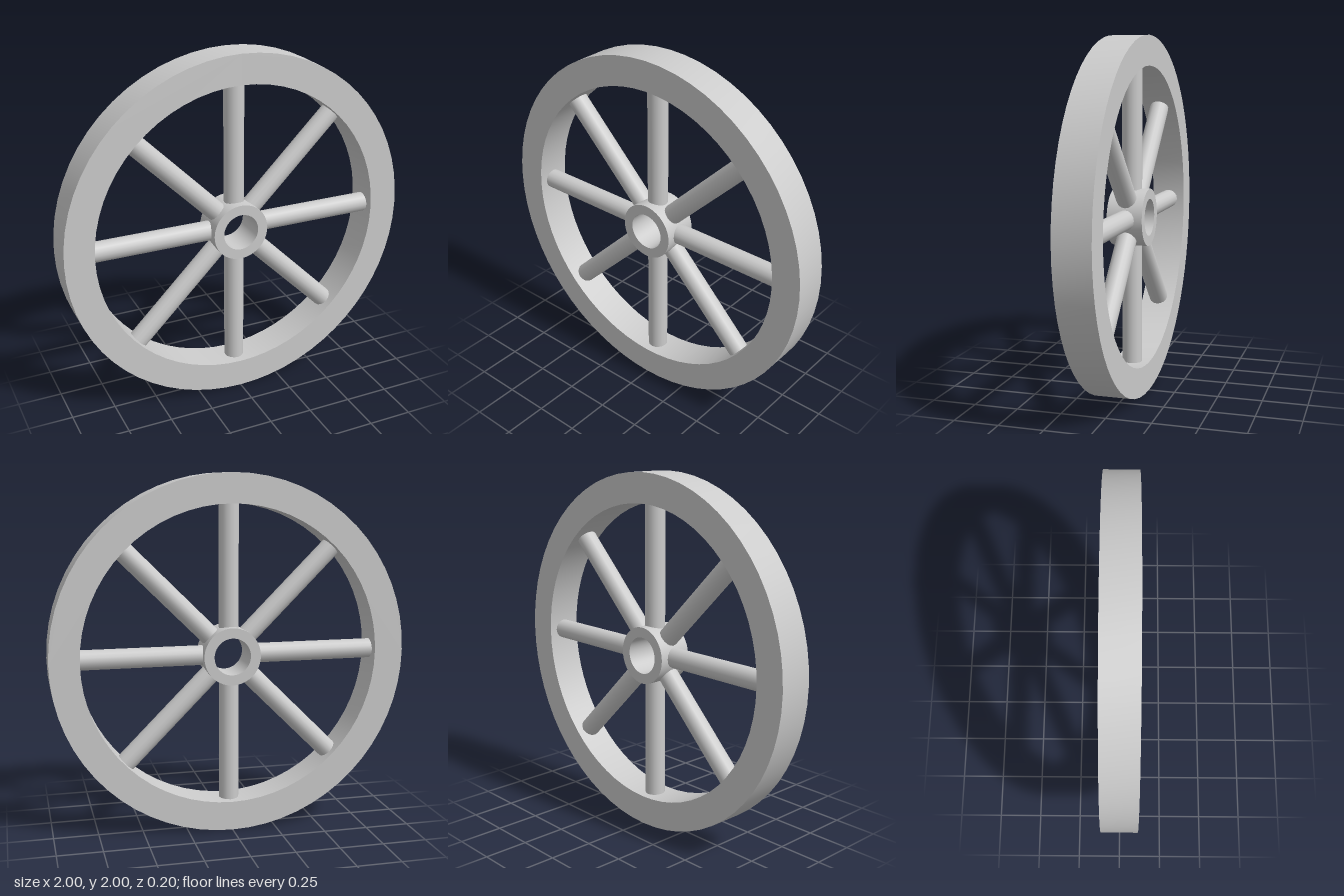
import * as THREE from 'three';
import { toCreasedNormals } from 'three/addons/utils/BufferGeometryUtils.js';

const DEPTH = 0.2;
const SPOKES = 8;

// Flat-faced ring with smooth inner and outer walls, centred on z = 0
function ringGeometry(outer, inner) {
  const shape = new THREE.Shape().absarc(0, 0, outer, 0, Math.PI * 2, false);
  shape.holes.push(new THREE.Path().absarc(0, 0, inner, 0, Math.PI * 2, true));
  const geometry = new THREE.ExtrudeGeometry(shape, { depth: DEPTH, bevelEnabled: false, curveSegments: 32 });
  geometry.translate(0, 0, -DEPTH / 2);
  return toCreasedNormals(geometry, 0.6);
}

export function createModel() {
  const material = new THREE.MeshStandardMaterial({ color: 0xcccccc });
  const wheel = new THREE.Group();
  wheel.name = 'wheel';

  const add = (name, geometry) => {
    const mesh = new THREE.Mesh(geometry, material);
    mesh.name = name;
    wheel.add(mesh);
    return mesh;
  };

  add('rim', ringGeometry(1, 0.835));
  add('hub', ringGeometry(0.16, 0.103));

  // Round spokes, seated slightly into the hub and the rim
  const start = 0.13, end = 0.85;
  const spoke = new THREE.CylinderGeometry(0.056, 0.056, end - start, 16);
  spoke.translate(0, (start + end) / 2, 0);
  for (let i = 0; i < SPOKES; i++) {
    add(`spoke${i + 1}`, spoke).rotation.z = (i / SPOKES) * Math.PI * 2;
  }

  wheel.position.y = 1;
  const model = new THREE.Group();
  model.name = 'spokedWheel';
  model.add(wheel);
  return model;
}
